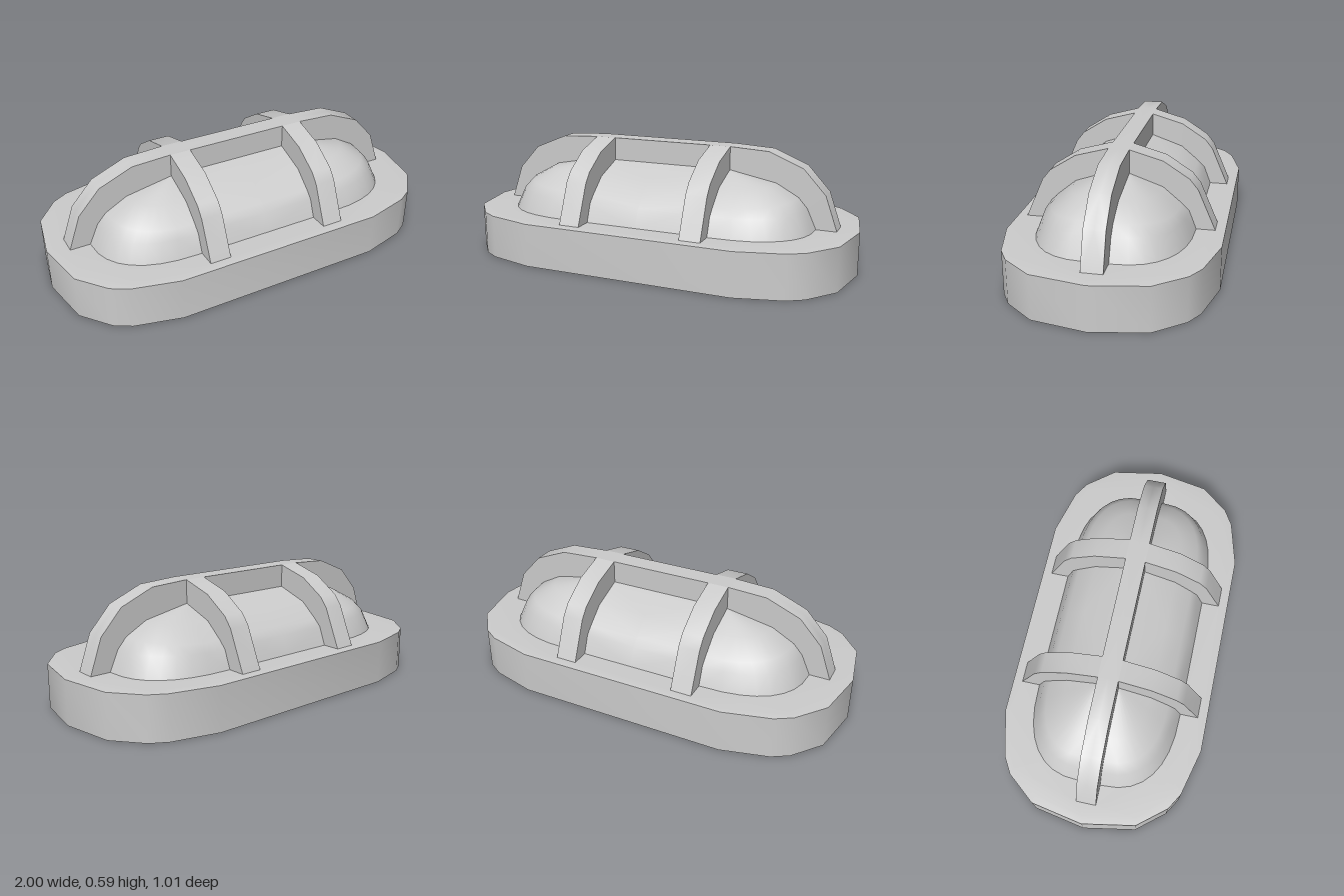
import * as THREE from 'three';
import { toCreasedNormals, mergeGeometries } from 'three/addons/utils/BufferGeometryUtils.js';

const material = new THREE.MeshStandardMaterial({ color: 0xcccccc, side: THREE.DoubleSide });

// Rib and lens profiles, bottom to top: [distance from centre, height]
const Y = 0.22, RIB_IN = 0.26, RIB_OUT = 0.365, HALF = 0.05;
const ribZ = [[0.46, Y], [0.375, 0.415], [0.335, 0.465], [0.21, 0.545], [HALF, 0.59]];
const lensZ = [[0.37, Y], [0.335, 0.31], [0.3, 0.345], [0.21, 0.42], [HALF, 0.475]];
const ribX = [[0.9, Y], [0.84, 0.39], [0.73, 0.51], [0.56, 0.58], [RIB_OUT, 0.59]];
const lensX = [[0.8, Y], [0.755, 0.32], [0.71, 0.37], [0.6, 0.43], [RIB_OUT, 0.475]];

const acrossAt = (profile, x) => profile.map(([z, y]) => [x, y, z]);
const alongAt = (profile, z) => profile.map(([x, y]) => [x, y, z]);

// Skin through rows of points
function skin(rows) {
  const n = rows[0].length, index = [];
  for (let i = 0; i < rows.length - 1; i++) {
    for (let j = 0; j < n - 1; j++) {
      const a = i * n + j, c = a + n;
      index.push(a, a + 1, c, a + 1, c + 1, c);
    }
  }
  const g = new THREE.BufferGeometry();
  g.setAttribute('position', new THREE.Float32BufferAttribute(rows.flat(2), 3));
  g.setIndex(index);
  g.computeVertexNormals();
  return g;
}

// Point on the rounded end of the lens, t from the long rib (0) to the cross rib (1)
function lensEndRow(t) {
  const a = (1 - t) * Math.PI / 2;
  const s = Math.max(0, Math.sin(a)) ** 0.8, c = Math.max(0, Math.cos(a)) ** 0.8;
  return lensZ.map(([z, yz], i) => {
    const [x, yx] = lensX[i];
    const k = Math.sin(a) ** 2;
    return [RIB_OUT + (x - RIB_OUT) * s, yz + (yx - yz) * k, HALF + (z - HALF) * c];
  });
}
const lensEnd = Array.from({ length: 9 }, (_, i) => lensEndRow(i / 8));

// Repeat a quarter outline, ordered from +x to +z, around all four quadrants
function fourWay(q) {
  const flip = (sx, sz) => q.map(([x, z]) => [x * sx, z * sz]);
  return [...q, ...flip(-1, 1).reverse(), ...flip(-1, -1), ...flip(1, -1).reverse()]
    .filter(([x, z], i, all) => {
      const p = all[(i + all.length - 1) % all.length];
      return Math.hypot(x - p[0], z - p[1]) > 1e-4;
    });
}

function createBase() {
  const outline = fourWay([[1, 0], [0.953, 0.26], [0.84, 0.4], [0.76, 0.448], [0.53, 0.507]]);
  const ring = (s, y) => [...outline, outline[0]].map(([x, z]) => [x * s, y, z * s]);

  // Open skirt with a slightly sloped lip
  const skirt = skin([ring(1, 0), ring(1, 0.217), ring(0.965, Y)].map(r => r.reverse()));

  // Top plate with an opening that follows the lens and ribs
  const toV = ([x, z]) => new THREE.Vector2(x, z);
  const opening = fourWay([
    [0.9, HALF], ...lensEnd.map(r => [r[0][0], r[0][2]]),
    [RIB_OUT, 0.46], [RIB_IN, 0.46], [RIB_IN, 0.37]
  ]);
  const shape = new THREE.Shape(outline.map(([x, z]) => toV([x * 0.965, z * 0.965])));
  shape.holes.push(new THREE.Path(opening.map(toV)));
  const plate = new THREE.ShapeGeometry(shape);
  plate.rotateX(-Math.PI / 2).translate(0, Y, 0);
  plate.deleteAttribute('uv');

  const mesh = new THREE.Mesh(toCreasedNormals(mergeGeometries([skirt, plate]), 0.9), material);
  mesh.name = 'base';
  return mesh;
}

export function createModel() {
  const model = new THREE.Group();
  model.name = 'cagedLamp';
  model.add(createBase());

  const parts = {
    // Lens panels between the ribs
    lensCentre: [skin([acrossAt(lensZ, RIB_IN), acrossAt(lensZ, 0)])],
    lensEnd: [skin(lensEnd)],
    // Cross rib: top strip and both sides
    crossRib: [
      skin([acrossAt(ribZ, RIB_OUT), acrossAt(ribZ, RIB_IN)]),
      skin([acrossAt(lensZ, RIB_OUT), acrossAt(ribZ, RIB_OUT)]),
      skin([acrossAt(ribZ, RIB_IN), acrossAt(lensZ, RIB_IN)])
    ],
    // Long rib: top strip, end side and centre side
    longRib: [
      skin([alongAt([...ribX, [0, 0.59]], 0), alongAt([...ribX, [0, 0.59]], HALF)]),
      skin([alongAt(ribX, HALF), alongAt(lensX, HALF)]),
      skin([RIB_IN, 0].map(x => [[x, 0.475, HALF], [x, 0.59, HALF]]))
    ]
  };

  // Mirror one quarter into all four
  const geometries = Object.entries(parts).map(([name, list]) => [name, mergeGeometries(list)]);
  for (const sx of [1, -1]) {
    for (const sz of [1, -1]) {
      const quarter = new THREE.Group();
      quarter.name = (sz > 0 ? 'front' : 'back') + (sx > 0 ? 'Left' : 'Right') + 'Quarter';
      for (const [name, geometry] of geometries) {
        const mesh = new THREE.Mesh(geometry, material);
        mesh.name = name;
        quarter.add(mesh);
      }
      quarter.scale.set(sx, 1, sz);
      model.add(quarter);
    }
  }
  return model;
}
